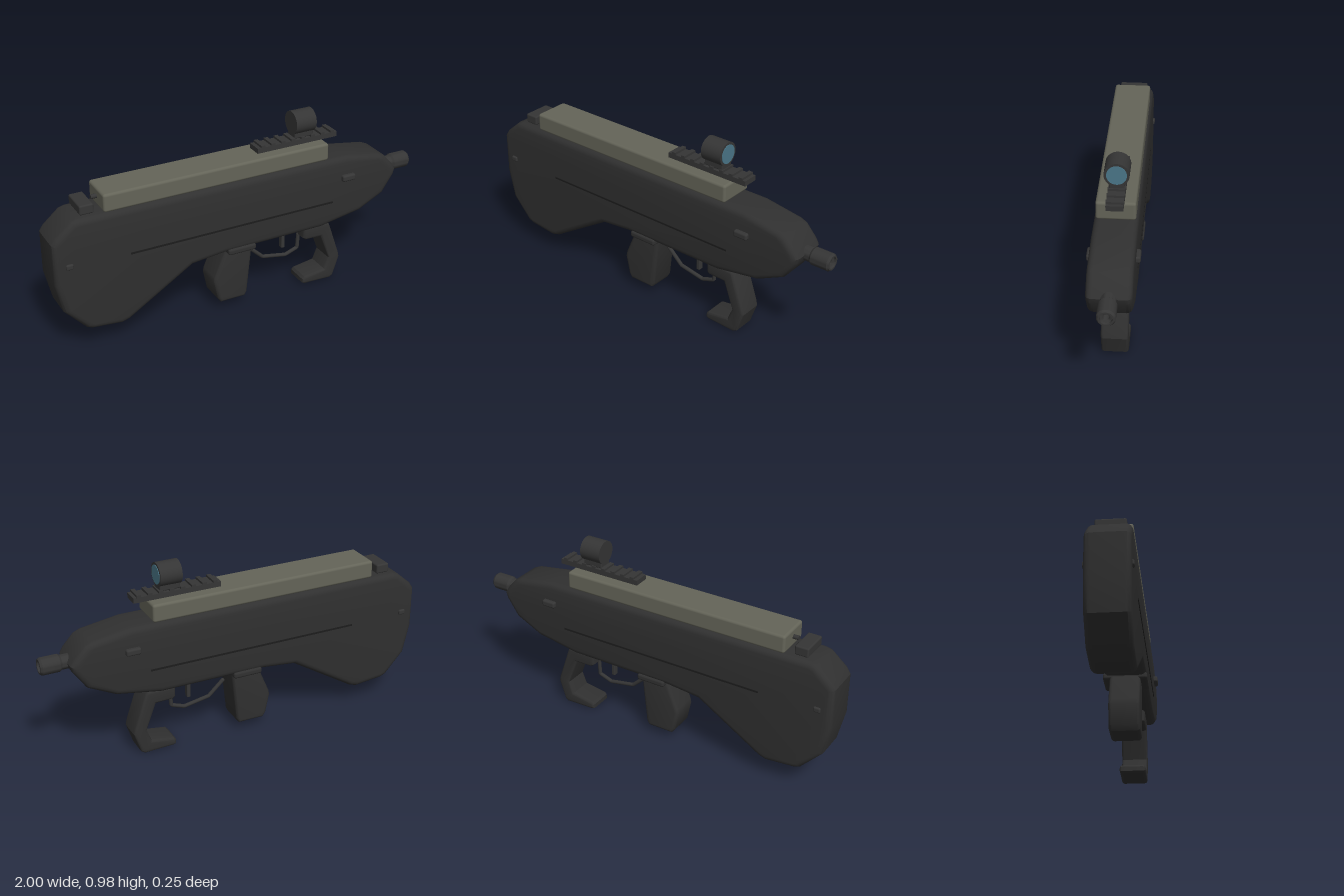
import * as THREE from 'three';
import { toCreasedNormals } from 'three/addons/utils/BufferGeometryUtils.js';
import { RoundedBoxGeometry } from 'three/addons/geometries/RoundedBoxGeometry.js';

const mat = (name, color) => new THREE.MeshStandardMaterial({ name, color });

export function createModel() {
  const model = new THREE.Group();
  const shell = mat('charcoal shell', 0x303030);
  const metal = mat('dark metal', 0x353535);
  const black = mat('black recess', 0x1c1c1c);
  const olive = mat('olive cover', 0x646458);
  const glass = mat('blue glass', 0x4a7688);

  const add = (name, geometry, material, x = 0, y = 0, z = 0) => {
    const mesh = new THREE.Mesh(geometry, material);
    mesh.name = name;
    mesh.position.set(x, y, z);
    model.add(mesh);
    return mesh;
  };

  // Side outline extruded across z with rounded edges inside the outline
  const slab = (name, points, halfWidth, bevel, material) => {
    const shape = new THREE.Shape(points.map(([x, y]) => new THREE.Vector2(x, y)));
    const geometry = new THREE.ExtrudeGeometry(shape, {
      depth: 2 * (halfWidth - bevel), bevelEnabled: true, bevelSize: bevel,
      bevelThickness: bevel, bevelOffset: -bevel, bevelSegments: 4,
    });
    geometry.translate(0, 0, bevel - halfWidth);
    return add(name, toCreasedNormals(geometry, 0.5), material);
  };

  // Box given by its limits in x and y, centred on z
  const block = (name, x0, x1, y0, y1, halfWidth, radius, material) => {
    const size = [x1 - x0, y1 - y0, 2 * halfWidth];
    const geometry = radius
      ? new RoundedBoxGeometry(...size, 3, radius)
      : new THREE.BoxGeometry(...size);
    return add(name, geometry, material, (x0 + x1) / 2, (y0 + y1) / 2);
  };

  // Main shell
  slab('body', [
    [-1, 0.61], [-1, 0.40], [-0.965, 0.245], [-0.86, 0.13], [-0.83, 0.118],
    [-0.68, 0.103], [-0.64, 0.115], [-0.3, 0.325], [-0.12, 0.343], [0.43, 0.345],
    [0.66, 0.385], [0.80, 0.455], [0.865, 0.55], [0.873, 0.58], [0.855, 0.61],
    [0.80, 0.67], [0.765, 0.685], [0.57, 0.716], [-0.87, 0.716], [-0.90, 0.708],
    [-0.98, 0.64],
  ], 0.103, 0.03, shell);

  // Seams and buttons cross the whole body and show on both sides
  block('sideSeam', -0.625, 0.487, 0.477, 0.486, 0.106, 0, black);
  block('frontButtons', 0.535, 0.61, 0.588, 0.622, 0.123, 0.01, metal);
  block('rearPins', -0.945, -0.908, 0.478, 0.506, 0.112, 0.008, metal);

  // Top cover and rear catch
  block('topCover', -0.74, 0.46, 0.718, 0.81, 0.093, 0.013, olive);
  block('rearCatch', -0.85, -0.78, 0.722, 0.77, 0.072, 0.008, metal);
  add('coverKnob', new THREE.CylinderGeometry(0.011, 0.011, 0.04, 16), metal, -0.748, 0.768)
    .rotation.z = Math.PI / 2;

  // Accessory rail with cross teeth
  block('rail', 0.085, 0.535, 0.814, 0.84, 0.04, 0, metal);
  for (let i = 0; i < 8; i++) {
    const x = 0.105 + i * 0.056;
    block('railTooth', x, x + 0.022, 0.839, 0.851, 0.041, 0, metal);
  }

  // Optic
  block('sightMount', 0.295, 0.40, 0.845, 0.89, 0.035, 0.006, metal);
  add('sightTube', new THREE.CylinderGeometry(0.059, 0.059, 0.112, 40), metal, 0.348, 0.921)
    .rotation.z = Math.PI / 2;
  add('sightLens', new THREE.CylinderGeometry(0.047, 0.047, 0.006, 40), glass, 0.404, 0.921)
    .rotation.z = -Math.PI / 2;

  // Barrel, turned around x, with a stepped open bore
  const barrel = [
    [0.036, 0.80], [0.036, 0.895], [0.043, 0.905], [0.043, 0.99], [0.036, 1],
    [0.028, 1], [0.026, 0.99], [0.015, 0.985], [0.015, 0.93],
  ].map(([r, x]) => new THREE.Vector2(r, x));
  add('barrel', toCreasedNormals(new THREE.LatheGeometry(barrel, 32), 0.5), metal, 0, 0.573)
    .rotation.z = -Math.PI / 2;
  add('bore', new THREE.CircleGeometry(0.016, 24), black, 0.932, 0.573)
    .rotation.y = Math.PI / 2;

  // Rear grip with its collar
  block('gripCollar', -0.108, 0.046, 0.326, 0.36, 0.108, 0.012, shell);
  slab('rearGrip', [
    [-0.105, 0.345], [0.043, 0.345], [0.014, 0.07], [0.0, 0.045], [-0.135, 0.045],
    [-0.152, 0.07], [-0.173, 0.17], [-0.168, 0.195],
  ], 0.075, 0.018, shell);

  // Hooked front grip
  slab('frontGrip', [
    [0.345, 0.345], [0.345, 0.285], [0.36, 0.273], [0.45, 0.27], [0.503, 0.13],
    [0.478, 0.068], [0.36, 0.05], [0.348, 0.038], [0.348, 0.015], [0.36, 0.008],
    [0.515, 0.003], [0.535, 0.015], [0.57, 0.12], [0.565, 0.145], [0.502, 0.33],
    [0.492, 0.342],
  ], 0.066, 0.014, shell);

  // Trigger and its guard
  block('trigger', 0.244, 0.263, 0.23, 0.312, 0.014, 0.004, metal);
  const guard = [[0.062, 0.275], [0.14, 0.203], [0.275, 0.178], [0.345, 0.203], [0.35, 0.28]]
    .map(([x, y]) => new THREE.Vector3(x, y, 0));
  const path = new THREE.CurvePath();
  for (let i = 1; i < guard.length; i++) path.add(new THREE.LineCurve3(guard[i - 1], guard[i]));
  add('triggerGuard', new THREE.TubeGeometry(path, 48, 0.01, 10), metal);
  for (const end of [guard[0], guard[4]]) {
    add('guardEnd', new THREE.SphereGeometry(0.0105, 12, 8), metal, end.x, end.y);
  }

  return model;
}
